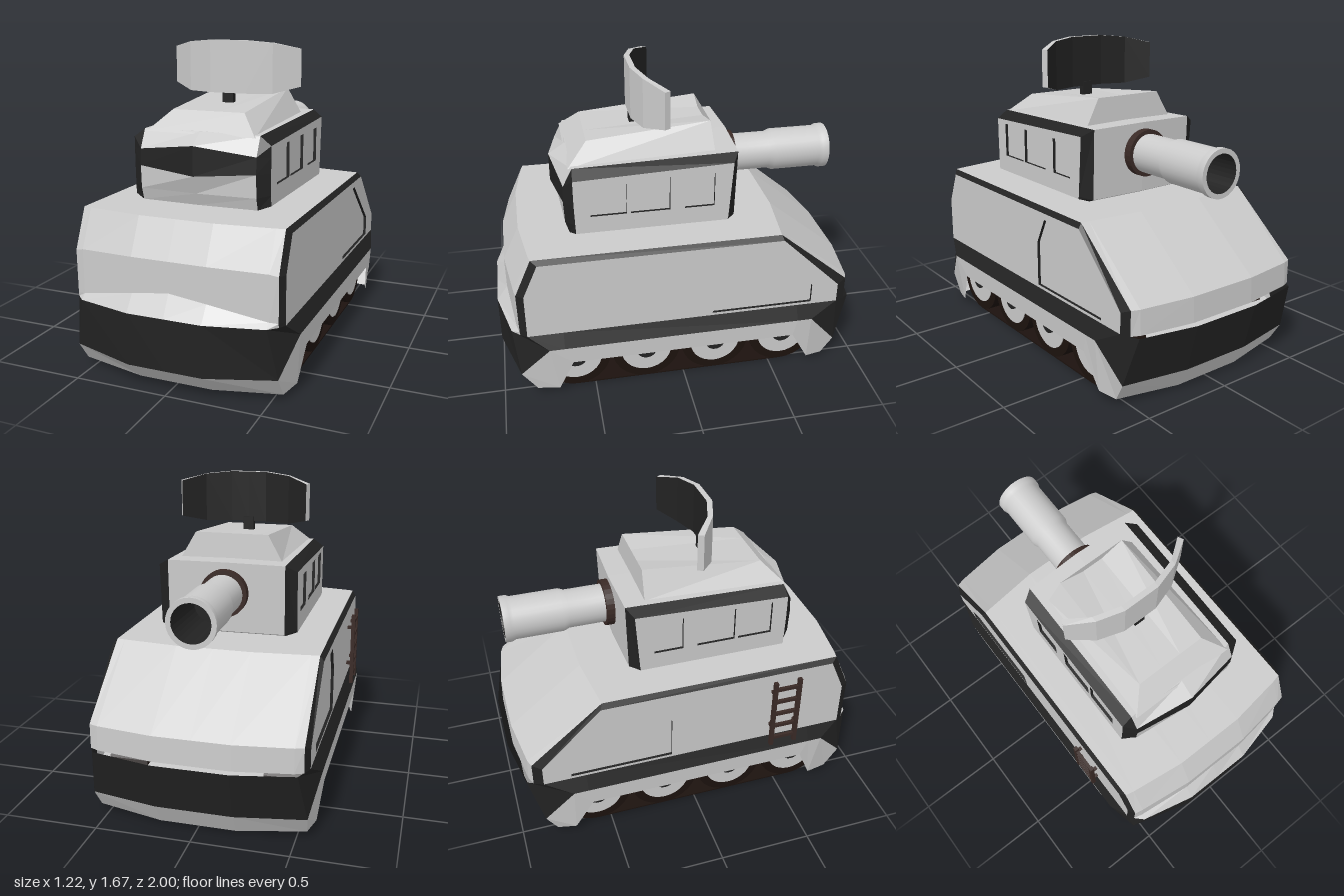
import * as THREE from 'three';

const mat = (color) => new THREE.MeshStandardMaterial({ color, flatShading: true, side: THREE.DoubleSide });
const grey = mat(0xcccccc), dark = mat(0x222222), brown = mat(0x3a2a26), rubber = mat(0x1c120e);
const smoothGrey = new THREE.MeshStandardMaterial({ color: 0xcccccc, side: THREE.DoubleSide });

export function createModel() {
  const model = new THREE.Group();

  function add(name, geometry, material, x = 0, y = 0, z = 0) {
    const mesh = new THREE.Mesh(geometry, material);
    mesh.name = name;
    mesh.position.set(x, y, z);
    model.add(mesh);
    return mesh;
  }
  const box = (name, w, h, d, material, x, y, z) => add(name, new THREE.BoxGeometry(w, h, d), material, x, y, z);

  // Faceted skin over rows of matching [x, y, z] points
  function skin(name, rows, material, closed = false) {
    const pos = [];
    for (let i = 0; i < rows.length - 1; i++) {
      const n = rows[i].length;
      for (let j = 0; j < (closed ? n : n - 1); j++) {
        const k = (j + 1) % n;
        const [a, b, c, d] = [rows[i][j], rows[i + 1][j], rows[i + 1][k], rows[i][k]];
        pos.push(...a, ...b, ...c, ...a, ...c, ...d);
      }
    }
    const g = new THREE.BufferGeometry();
    g.setAttribute('position', new THREE.Float32BufferAttribute(pos, 3));
    g.computeVertexNormals();
    return add(name, g, material);
  }

  // Column of [z, y] points placed at x; mirrored rows run from right to left
  const column = (x, zy) => zy.map(([z, y]) => [x, y, z]);
  const flip = (row) => row.map(([x, y, z]) => [-x, y, z]);
  const mirrored = (half) => [...half.slice(1).reverse().map(flip), ...half];

  // Flat side plate with recessed areas, on both sides
  function sidePlate(name, outline, recesses, x) {
    const toShape = (zy) => new THREE.Shape(zy.map(([z, y]) => new THREE.Vector2(-z, y)));
    const plate = toShape(outline);
    plate.holes = recesses.map(toShape);
    const depth = 0.016;
    for (const s of [1, -1]) {
      const g = new THREE.ExtrudeGeometry(plate, { depth, bevelEnabled: false });
      g.rotateY(Math.PI / 2);
      add(name, g, [grey, dark], s > 0 ? x - depth : -x);
      for (const r of recesses) {
        const inner = new THREE.ShapeGeometry(toShape(r));
        inner.rotateY(Math.PI / 2);
        add(name + 'Recess', inner, grey, s * (x - depth));
      }
    }
  }

  // Hull: lengthwise profiles from the centre outwards
  const hullEdge = column(0.545, [[0.885, 0.4], [0.887, 0.42], [0.89, 0.65], [0.8, 0.855], [-0.52, 0.855], [-0.91, 0.53], [-0.91, 0.4]]);
  skin('hull', mirrored([
    column(0, [[1, 0.4], [0.94, 0.51], [0.94, 0.67], [0.85, 0.857], [-0.56, 0.857], [-0.965, 0.53], [-0.97, 0.395]]),
    column(0.2, [[1, 0.4], [0.94, 0.485], [0.94, 0.67], [0.85, 0.857], [-0.56, 0.857], [-0.965, 0.53], [-0.97, 0.395]]),
    column(0.5, [[0.93, 0.4], [0.9, 0.425], [0.9, 0.66], [0.81, 0.855], [-0.525, 0.855], [-0.925, 0.53], [-0.93, 0.4]]),
    hullEdge,
  ]), grey);
  const hullSide = [[0.85, 0.4], [0.85, 0.42], [0.85, 0.65], [0.77, 0.83], [-0.53, 0.83], [-0.86, 0.51], [-0.86, 0.4]];
  for (const f of [(r) => r, flip]) skin('hullTrim', [hullEdge, column(0.567, hullSide)].map(f), dark);
  sidePlate('hullSide', hullSide,
    [[[-0.15, 0.415], [-0.15, 0.655], [-0.22, 0.795], [-0.38, 0.795], [-0.71, 0.525], [-0.71, 0.415]]], 0.567);

  // Bumper band and skirt: three edges running from front to back
  const upper = [[0, 0.4, 1], [0.2, 0.4, 1], [0.5, 0.4, 0.93], [0.567, 0.4, 0.85], [0.567, 0.4, 0.66],
    [0.567, 0.4, -0.63], [0.567, 0.4, -0.86], [0.52, 0.395, -0.945], [0.2, 0.39, -1], [0, 0.39, -1]];
  const middle = [[0, 0.13, 1], [0.2, 0.13, 1], [0.55, 0.14, 0.9], [0.605, 0.32, 0.74], [0.605, 0.32, 0.66],
    [0.605, 0.32, -0.63], [0.605, 0.32, -0.71], [0.56, 0.13, -0.87], [0.2, 0.13, -0.935], [0, 0.13, -0.935]];
  const lower = [[0, 0.015, 0.88], [0.2, 0.015, 0.88], [0.55, 0.03, 0.82], [0.58, 0.04, 0.7], [0.6, 0.22, 0.62],
    [0.6, 0.22, -0.61], [0.58, 0.04, -0.71], [0.55, 0.03, -0.81], [0.2, 0.015, -0.87], [0, 0.015, -0.87]];
  const loop = (half) => [...half, ...flip(half.slice(1, -1)).reverse()];
  skin('bumperBand', [loop(upper), loop(middle)], dark, true);
  skin('skirt', [loop(middle), loop(lower)], grey, true);
  skin('belly', lower.slice(1, -1).map(([x, , z]) => [[-x, 0.25, z], [x, 0.25, z]]), grey);

  // Running gear
  for (const s of [1, -1]) {
    for (const z of [0.6, 0.21, -0.18, -0.57]) {
      [['tyre', 0.19, 0.21, 0.415, rubber], ['wheelDisc', 0.14, 0.02, 0.515, grey], ['wheelHub', 0.055, 0.03, 0.52, dark]]
        .forEach(([name, r, w, x, m]) => {
          const g = new THREE.CylinderGeometry(r, r, w, 28);
          g.rotateZ(Math.PI / 2);
          add(name, g, m, s * x, 0.19, z);
        });
    }
    box('track', 0.21, 0.008, 1.17, rubber, s * 0.415, 0.004, 0.015);
  }

  // Turret body: front strips, visor, deck and rear
  const turretCols = [
    [0, [[0.59, 0.865], [0.615, 0.93], [0.652, 1.025], [0.652, 1.18], [0.56, 1.24], [-0.335, 1.26], [-0.325, 0.88], [-0.29, 0.865]]],
    [0.32, [[0.58, 0.865], [0.6, 0.93], [0.605, 1.05], [0.6, 1.137], [0.55, 1.235], [-0.325, 1.255], [-0.315, 0.88], [-0.28, 0.865]]],
  ].map(([x, zy]) => column(x, zy));
  const strip = (a, b) => mirrored(turretCols.map((c) => c.slice(a, b + 1)));
  skin('turretNose', strip(0, 2), grey);
  skin('visor', strip(2, 3), dark);
  skin('turretDeck', strip(3, 7), grey);
  skin('turretFloor', mirrored(turretCols.map((c) => [c[0], c[7]])), dark);
  const turretSide = [[0.55, 0.885], [0.552, 0.94], [0.555, 1.05], [0.555, 1.13], [0.555, 1.19], [-0.29, 1.22], [-0.268, 0.9], [-0.265, 0.885]];
  for (const f of [(r) => r, flip]) skin('turretTrim', [turretCols[1], column(0.38, turretSide)].map(f), dark, true);
  sidePlate('turretSide', turretSide,
    [[0.47, 0.28], [0.26, 0.05], [-0.03, -0.19]].map(([a, b]) => [[a, 0.98], [a, 1.17], [b, 1.17], [b, 0.98]]), 0.38);
  add('turretRing', new THREE.CylinderGeometry(0.25, 0.25, 0.04, 24), dark, 0, 0.855, 0.14);

  // Raised roof, sloping up to the rear
  const roofBase = [[0.3, 1.225, 0.57], [0.28, 1.25, -0.21], [-0.28, 1.25, -0.21], [-0.3, 1.225, 0.57]];
  const roofTop = [[0.2, 1.33, 0.46], [0.2, 1.39, -0.2], [-0.2, 1.39, -0.2], [-0.2, 1.33, 0.46]];
  skin('roofSides', [roofBase, roofTop], grey, true);
  // The roof dips between two rear peaks
  skin('roof', [
    [roofTop[3], [-0.06, 1.33, 0.46], [0.06, 1.33, 0.46], roofTop[0]],
    [roofTop[2], [-0.06, 1.365, -0.19], [0.06, 1.365, -0.19], roofTop[1]],
  ], grey);

  // Gun, pointing to the rear
  const lathe = (name, pts, m, z) => {
    const g = new THREE.LatheGeometry(pts.map(([r, l]) => new THREE.Vector2(r, l)), 28);
    g.rotateX(-Math.PI / 2);
    return add(name, g, m, 0, 1.098, z);
  };
  lathe('gunCollar', [[0, 0], [0.127, 0], [0.127, 0.045], [0, 0.045]], brown, -0.33);
  lathe('barrel', [[0.105, 0], [0.105, 0.2], [0.117, 0.23], [0.117, 0.49], [0.126, 0.51], [0.126, 0.545]], smoothGrey, -0.375);
  lathe('muzzleRim', [[0.126, 0.545], [0.1, 0.545]], grey, -0.375);
  lathe('bore', [[0.1, 0.545], [0.095, 0.2], [0, 0.2]], dark, -0.375);

  // Curved radar panel on a short post
  const dish = [[0, 0.21, 1.395, 1.675], [0.1, 0.21, 1.395, 1.675], [0.24, 0.165, 1.395, 1.662], [0.37, 0.075, 1.43, 1.63]];
  const dishRows = (dx, ...ends) => mirrored(dish.map(([x, z, lo, hi]) =>
    ends.map(([top, back]) => [x - (back && x > 0.3 ? dx : 0), top ? hi : lo, z - (back ? 0.03 : 0)])));
  skin('radarFace', dishRows(0.015, [0, 0], [1, 0]), grey);
  skin('radarBack', dishRows(0.015, [0, 1], [1, 1]), dark);
  skin('radarTopEdge', dishRows(0.015, [1, 0], [1, 1]), grey);
  skin('radarBottomEdge', dishRows(0.015, [0, 0], [0, 1]), grey);
  for (const s of [1, -1]) {
    skin('radarEndEdge', [[[s * 0.37, 1.43, 0.075], [s * 0.37, 1.63, 0.075]], [[s * 0.355, 1.43, 0.045], [s * 0.355, 1.63, 0.045]]], grey);
  }
  box('radarPost', 0.06, 0.1, 0.035, dark, 0, 1.37, 0.19);

  // Ladder on the right side
  for (const z of [0.425, 0.565]) {
    box('ladderRail', 0.022, 0.44, 0.022, brown, -0.6, 0.58, z);
    for (const y of [0.49, 0.72]) box('ladderBracket', 0.045, 0.018, 0.018, brown, -0.58, y, z);
  }
  for (let i = 0; i < 5; i++) box('ladderRung', 0.018, 0.018, 0.14, brown, -0.6, 0.41 + i * 0.085, 0.495);

  return model;
}
